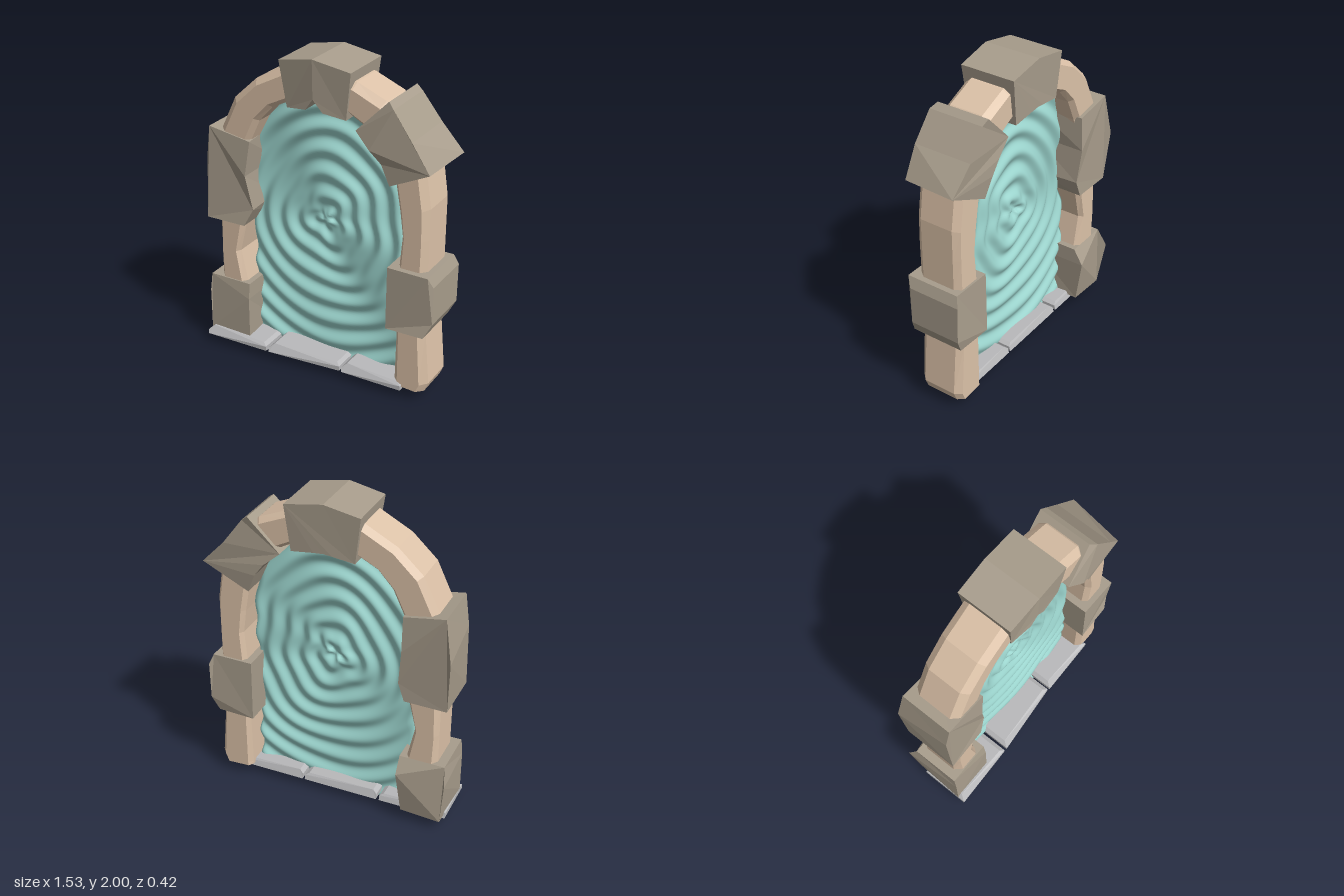
import * as THREE from 'three';

const mat = (color, flatShading = true) => new THREE.MeshStandardMaterial({ color, flatShading, roughness: 0.9 });
const sand = mat(0xdcc2a8), rock = mat(0xa89d8c), slabGrey = mat(0xb9b9bb), water = mat(0x9fd9d2, false);

function mesh(name, positions, index, material) {
  const g = new THREE.BufferGeometry();
  g.setAttribute('position', new THREE.Float32BufferAttribute(positions.flat(), 3));
  g.setIndex(index);
  const geo = material.flatShading ? g.toNonIndexed() : g;
  geo.computeVertexNormals();
  const m = new THREE.Mesh(geo, material);
  m.name = name;
  return m;
}

// Hewn block: corners anticlockwise from the front, [x, y, frontZ, backZ, backX?, backY?]
function block(name, corners, material) {
  const n = corners.length;
  const front = corners.map(([x, y, zf]) => [x, y, zf]);
  const back = corners.map(([x, y, , zb, bx = x, by = y]) => [bx, by, zb]);
  const index = [];
  const tris = (ring) => THREE.ShapeUtils.triangulateShape(ring.map(([x, y]) => new THREE.Vector2(x, y)), []);
  tris(front).forEach(([a, b, c]) => index.push(a, b, c));
  tris(back).forEach(([a, b, c]) => index.push(n + a, n + c, n + b));
  for (let i = 0; i < n; i++) {
    const j = (i + 1) % n;
    index.push(i, n + i, j, j, n + i, n + j);
  }
  return mesh(name, [...front, ...back], index, material);
}

// Chamfered band swept through stations [innerX, innerY, outerX, outerY]
function band(name, stations) {
  const section = [[0, 0.11], [0.14, 0.142], [0.8, 0.142], [1, 0.1], [1, -0.11], [0.85, -0.15], [0.12, -0.15], [0, -0.12]];
  const k = section.length, pos = [], index = [];
  for (const [xi, yi, xo, yo] of stations)
    for (const [t, z] of section) pos.push([xi + (xo - xi) * t, yi + (yo - yi) * t, z]);
  for (let s = 0; s < stations.length - 1; s++)
    for (let i = 0; i < k; i++) {
      const a = s * k + i, b = s * k + (i + 1) % k;
      index.push(a, a + k, b, b, a + k, b + k);
    }
  const end = (stations.length - 1) * k;
  for (let i = 1; i < k - 1; i++) index.push(0, i, i + 1, end, end + i + 1, end + i);
  return mesh(name, pos, index, sand);
}

// Thin rippled sheet with rounded rim, filling the doorway
function ripplingSheet() {
  const rows = 150, cols = 90, ring = cols * 2, pos = [], index = [];
  const y0 = 0.012, y1 = 1.74;
  for (let r = 0; r <= rows; r++) {
    const v = r / rows, y = y0 + (y1 - y0) * v;
    const arch = Math.max(0, (y - 1.2) / 0.62);
    const half = 0.515 * Math.sqrt(1 - Math.min(arch, 0.95) ** 2) + 0.008 * Math.sin(y * 27);
    for (let c = 0; c < ring; c++) {
      const side = c < cols ? 1 : -1;
      const u = c < cols ? -1 + 2 * c / cols : 1 - 2 * (c - cols) / cols;
      const x = u * half, dy = y - 0.98, a = Math.atan2(dy, x);
      const d = Math.hypot(x, dy * 0.88) + 0.016 * Math.sin(3 * a + 1) + 0.01 * Math.sin(5 * a + dy * 6);
      const ripple = 0.013 * Math.cos(d * 52 - 0.4) + 0.006 * Math.sin(x * 9 + y * 6);
      const rim = Math.sqrt(Math.min(1, (1 - u * u) * 8)) * Math.sqrt(Math.min(1, v * 40, (1 - v) * 40));
      const sag = v < 0.02 ? 0.008 * Math.sin(x * 14) * (1 - v / 0.02) : 0;
      pos.push([x, y + sag, ripple + side * 0.014 * rim]);
    }
  }
  for (let r = 0; r < rows; r++)
    for (let c = 0; c < ring; c++) {
      const a = r * ring + c, b = r * ring + (c + 1) % ring;
      index.push(a, b, a + ring, b, b + ring, a + ring);
    }
  return mesh('waterSheet', pos, index, water);
}

export function createModel() {
  const model = new THREE.Group();
  model.name = 'stoneArchPortal';

  // Sandstone frame
  model.add(
    band('rightPillarAndArch', [
      [-0.51, 0.2, -0.69, 0.2], [-0.505, 0.46, -0.695, 0.46], [-0.55, 0.67, -0.695, 0.66], [-0.505, 0.86, -0.695, 0.86],
      [-0.5, 1.2, -0.69, 1.24], [-0.46, 1.4, -0.665, 1.44], [-0.39, 1.55, -0.56, 1.66],
      [-0.3, 1.65, -0.41, 1.8], [-0.18, 1.71, -0.21, 1.905], [0, 1.74, 0, 1.93],
    ]),
    band('leftPillarAndArch', [
      [0.05, 1.74, 0.05, 1.93], [0.2, 1.71, 0.24, 1.895], [0.31, 1.65, 0.42, 1.82], [0.41, 1.54, 0.58, 1.67],
      [0.49, 1.4, 0.675, 1.45], [0.525, 1.2, 0.705, 1.25], [0.545, 1.05, 0.705, 1.06], [0.53, 0.86, 0.705, 0.86],
      [0.525, 0.46, 0.705, 0.46], [0.52, 0.1, 0.735, 0.13], [0.52, 0.08, 0.71, 0.07],
    ]),
  );

  // Darker hewn stones
  model.add(
    block('keystone', [
      [-0.185, 1.68, 0.14, -0.17], [-0.05, 1.7, 0.165, -0.175], [0, 1.77, 0.17, -0.175, 0, 1.705], [0.06, 1.7, 0.165, -0.175],
      [0.2, 1.68, 0.15, -0.17], [0.235, 1.96, 0.165, -0.18], [0, 2, 0.175, -0.18], [-0.22, 1.96, 0.165, -0.18],
    ], rock),
    block('leftShoulderStone', [
      [0.27, 1.645, 0.17, -0.17], [0.37, 1.56, 0.2, -0.18], [0.43, 1.48, 0.17, -0.18], [0.48, 1.36, 0.165, -0.165],
      [0.725, 1.48, 0.175, -0.17, 0.765, 1.5], [0.62, 1.65, 0.185, -0.18], [0.5, 1.81, 0.175, -0.17], [0.46, 1.84, 0.15, -0.18],
    ], rock),
    block('rightUpperStone', [
      [-0.75, 0.87, 0.165, -0.17], [-0.49, 0.87, 0.16, -0.165], [-0.435, 0.98, 0.14, -0.16, -0.45], [-0.47, 1.2, 0.165, -0.18],
      [-0.44, 1.42, 0.15, -0.17, -0.47], [-0.72, 1.465, 0.15, -0.175], [-0.75, 1.27, 0.14, -0.2, -0.765, 1.2],
    ], rock),
    block('leftMiddleStone', [
      [0.485, 0.47, 0.18, -0.17], [0.72, 0.47, 0.175, -0.16], [0.765, 0.56, 0.15, -0.175], [0.765, 0.8, 0.15, -0.18],
      [0.74, 0.865, 0.18, -0.16], [0.485, 0.865, 0.175, -0.165],
    ], rock),
    block('rightFootStone', [
      [-0.755, 0.09, 0.165, -0.165, -0.74, 0.07], [-0.47, 0.1, 0.165, -0.16, -0.49, 0.08], [-0.47, 0.37, 0.165, -0.21],
      [-0.47, 0.47, 0.15, -0.15], [-0.75, 0.47, 0.15, -0.15], [-0.755, 0.36, 0.165, -0.205, -0.77, 0.36],
    ], rock),
  );

  // Threshold slabs with worn front edges: [x0, x1, left front z, right front z]
  [[-0.755, -0.33, 0.21, 0.2], [-0.31, 0.17, 0.2, 0.16], [0.185, 0.58, 0.165, 0.16]].forEach(([x0, x1, za, zb], i) => {
    model.add(block('thresholdSlab' + (i + 1), [
      [x0, 0.06, za, -0.11], [x1, 0.06, zb, -0.11], [x1, 0.09, zb, -0.1],
      [x1 - 0.025, 0.105, zb - 0.02, -0.09], [x0 + 0.025, 0.112, za - 0.035, -0.09], [x0, 0.09, za, -0.1],
    ], slabGrey));
  });

  model.add(ripplingSheet());
  return model;
}
